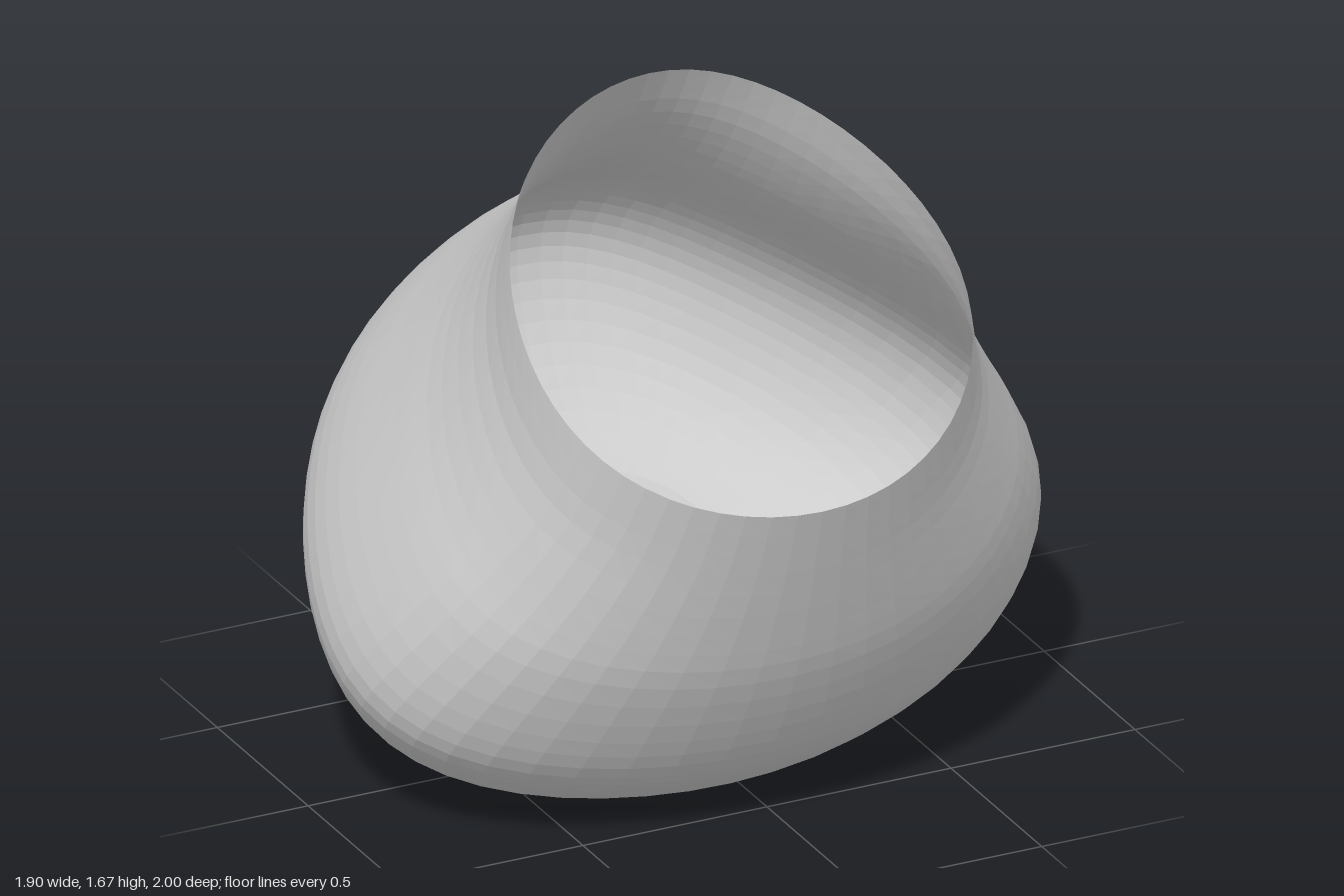
import * as THREE from 'three';
import { ParametricGeometry } from 'three/addons/geometries/ParametricGeometry.js';

// Cross-sections from the mouth down to the hole, in the tilted frame:
// [height along axis, front edge, back edge, half width, egg taper, x offset]
const SECTIONS = [
  [0.643, -0.79, 0.575, 0.58, 0.1, -0.035],
  [0.45, -0.82, 0.594, 0.62, 0.18, -0.025],
  [0.25, -0.848, 0.648, 0.705, 0.25, -0.015],
  [0.08, -0.866, 0.722, 0.79, 0.29, -0.01],
  [-0.13, -0.863, 0.835, 0.88, 0.31, 0],
  [-0.29, -0.842, 0.895, 0.91, 0.31, 0],
  [-0.42, -0.79, 0.9, 0.875, 0.3, 0],
  [-0.53, -0.72, 0.84, 0.81, 0.28, 0],
  [-0.63, -0.59, 0.72, 0.69, 0.22, 0],
  [-0.7, -0.41, 0.56, 0.51, 0.12, 0],
  [-0.725, -0.25, 0.39, 0.34, 0.05, 0],
  [-0.69, -0.215, 0.3, 0.25, 0, 0],
  [-0.63, -0.195, 0.25, 0.21, 0, -0.005],
  [-0.57, -0.18, 0.22, 0.185, 0, -0.01],
];

const curve = (from) => new THREE.CatmullRomCurve3(
  SECTIONS.map((s) => new THREE.Vector3(s[from], s[from + 1], s[from + 2])), false, 'catmullrom', 0.5);

export function createModel() {
  const group = new THREE.Group();
  group.name = 'tiltedPot';

  const greyClay = new THREE.MeshStandardMaterial({ color: 0xcccccc, flatShading: true, side: THREE.DoubleSide });
  greyClay.name = 'greyClay';

  // Open shell: egg-shaped loops that end in a throat turned inward
  const place = curve(0);
  const shape = curve(3);
  const p = new THREE.Vector3();
  const q = new THREE.Vector3();
  const geometry = new ParametricGeometry((u, v, target) => {
    place.getPoint(v, p);
    shape.getPoint(v, q);
    const angle = -2 * Math.PI * u;
    const s = Math.sin(angle);
    const c = Math.cos(angle);
    // the loops narrow toward the back; the left side is pinched, the right one fuller
    const taper = q.y * (0.95 + 0.15 * c);
    const pinch = q.y * (0.1 + 0.6 * c);
    // every loop is skewed toward the right front and left back
    const x = q.z + q.x * c * (1 - taper * s) * (1 - pinch * s * s) + 0.06 * s;
    const b = (p.y + p.z) / 2 + ((p.z - p.y) / 2) * s;
    const a = p.x + 0.1 * q.y * x;
    // tip the axis toward the front and stand the pot on the ground
    target.set(x, 0.84 + 0.88 * a + 0.475 * b, 0.475 * a - 0.88 * b);
  }, 60, 39);

  const shell = new THREE.Mesh(geometry, greyClay);
  shell.name = 'potShell';
  group.add(shell);
  return group;
}
